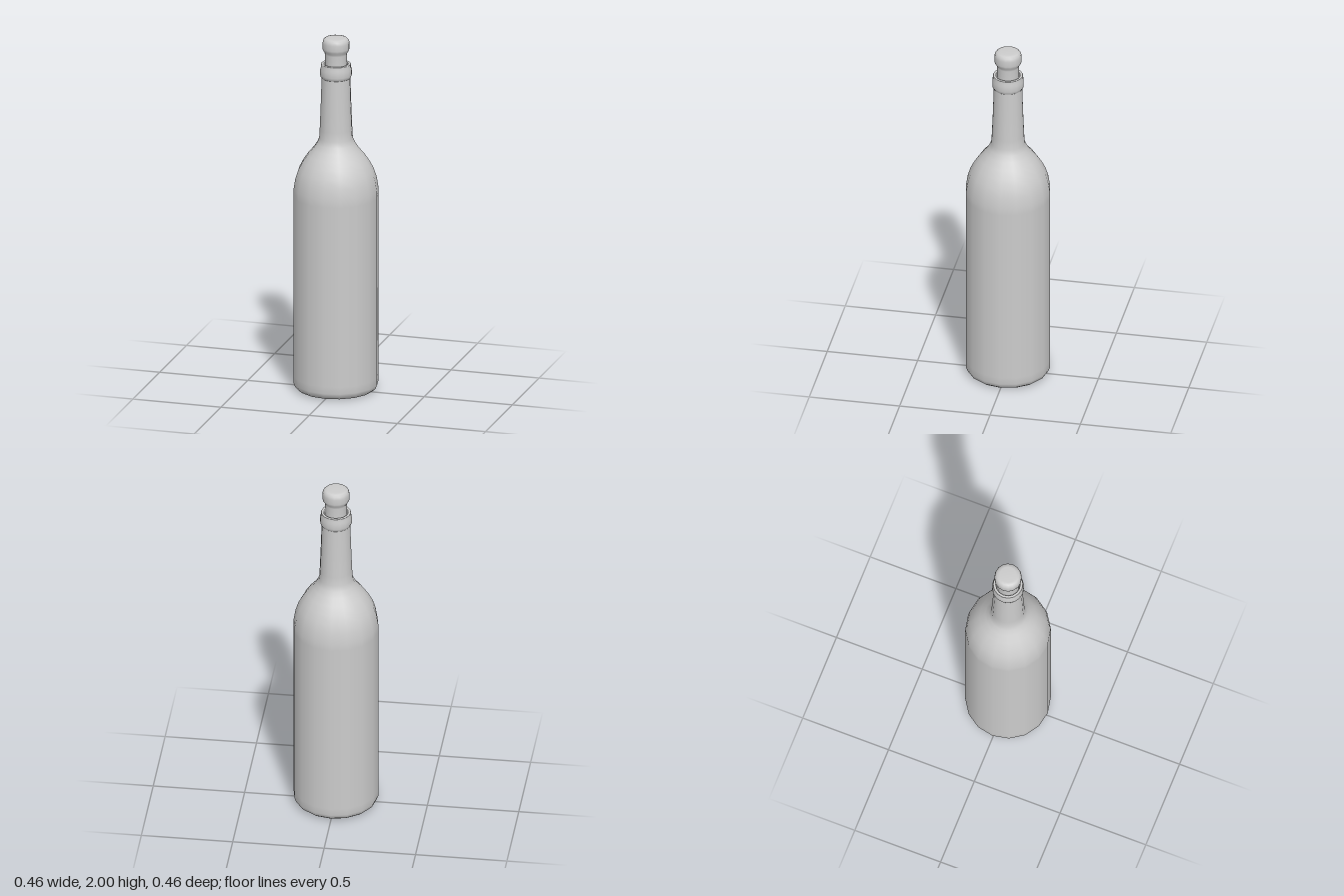
import * as THREE from 'three';

const SIDES = 16;

// Turns a [radius, height] profile, listed from the bottom up, into a smooth round part.
function turned(name, profile) {
  const points = profile.map(([r, y]) => new THREE.Vector2(r, y));
  const material = new THREE.MeshStandardMaterial({ color: 0xcccccc });
  const mesh = new THREE.Mesh(new THREE.LatheGeometry(points, SIDES), material);
  mesh.name = name;
  return mesh;
}

export function createModel() {
  const model = new THREE.Group();
  model.name = 'corkedBottle';

  // Hollow base, straight body and rounded shoulder, tapering neck
  model.add(turned('bottleBody', [
    [0, 0.11], [0.03, 0.105], [0.06, 0.065], [0.1, 0.025], [0.14, 0.008],
    [0.19, 0], [0.208, 0.005], [0.224, 0.018], [0.232, 0.04],
    [0.232, 0.08], [0.232, 1.1], [0.232, 1.14],
    [0.222, 1.2], [0.206, 1.25], [0.182, 1.295], [0.155, 1.335],
    [0.125, 1.37], [0.105, 1.4], [0.092, 1.43],
    [0.089, 1.48], [0.084, 1.6], [0.078, 1.78],
  ]));

  // Raised lip, with its inner wall running down to the stopper
  model.add(turned('lip', [
    [0.077, 1.77], [0.083, 1.777], [0.087, 1.79], [0.087, 1.82],
    [0.082, 1.832], [0.082, 1.849], [0.08, 1.852],
    [0.068, 1.852], [0.066, 1.849], [0.06, 1.78],
  ]));

  // Stopper: a shank in the neck under a rounded knob
  model.add(turned('stopper', [
    [0, 1.74], [0.056, 1.74], [0.059, 1.745], [0.06, 1.85], [0.06, 1.905],
    [0.063, 1.917], [0.071, 1.928], [0.074, 1.94], [0.074, 1.97],
    [0.07, 1.986], [0.06, 1.996], [0.045, 2], [0, 2],
  ]));

  return model;
}
